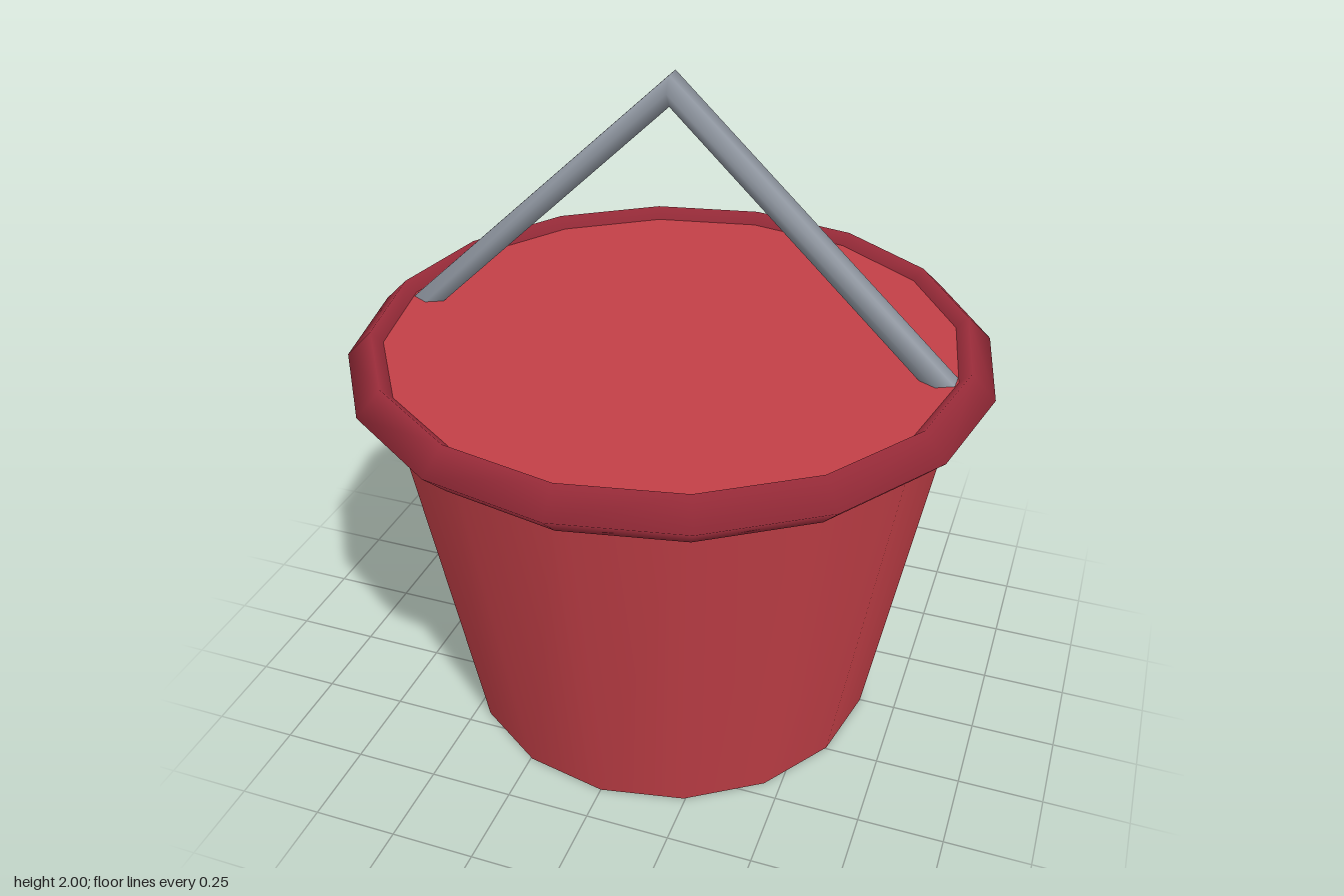
import * as THREE from 'three';

const paint = (color) => new THREE.MeshStandardMaterial({ color, side: THREE.DoubleSide });

// Six-sided bar bent once at the top, swept from the left foot to the right foot
function bentBar() {
  const SIDES = 6;
  const rings = [
    { c: [0.795, 1.2], out: [0.058, 0] },
    { c: [0, 1.957], out: [0, 0.05] },
    { c: [-0.795, 1.2], out: [-0.058, 0] },
  ];
  const pos = [], index = [];
  rings.forEach(({ c, out }, i) => {
    for (let k = 0; k < SIDES; k++) {
      const a = Math.PI / 6 + (k / SIDES) * Math.PI * 2;
      pos.push(c[0] + out[0] * Math.cos(a), c[1] + out[1] * Math.cos(a), 0.05 * Math.sin(a));
      if (i === rings.length - 1) continue;
      const n = (k + 1) % SIDES, r0 = i * SIDES, r1 = r0 + SIDES;
      index.push(r0 + k, r1 + k, r1 + n, r0 + k, r1 + n, r0 + n);
    }
  });
  const g = new THREE.BufferGeometry();
  g.setAttribute('position', new THREE.Float32BufferAttribute(pos, 3));
  g.setIndex(index);
  g.computeVertexNormals();
  return g;
}

export function createModel() {
  const group = new THREE.Group();
  group.name = 'bucket';
  const add = (name, geometry, color) => {
    const mesh = new THREE.Mesh(geometry, paint(color));
    mesh.name = name;
    group.add(mesh);
  };

  // Tapered body, closed at both ends
  const H = 1.215;
  add('body', new THREE.CylinderGeometry(0.853, 0.64, H, 16).translate(0, H / 2, 0), 0xc23f47);

  // Diamond-section rim
  add('rim', new THREE.TorusGeometry(0.87, 0.071, 4, 16).rotateX(Math.PI / 2).translate(0, 1.178, 0), 0x9b2c3a);

  // Peaked carrying handle
  add('handle', bentBar(), 0x8a919b);

  return group;
}
